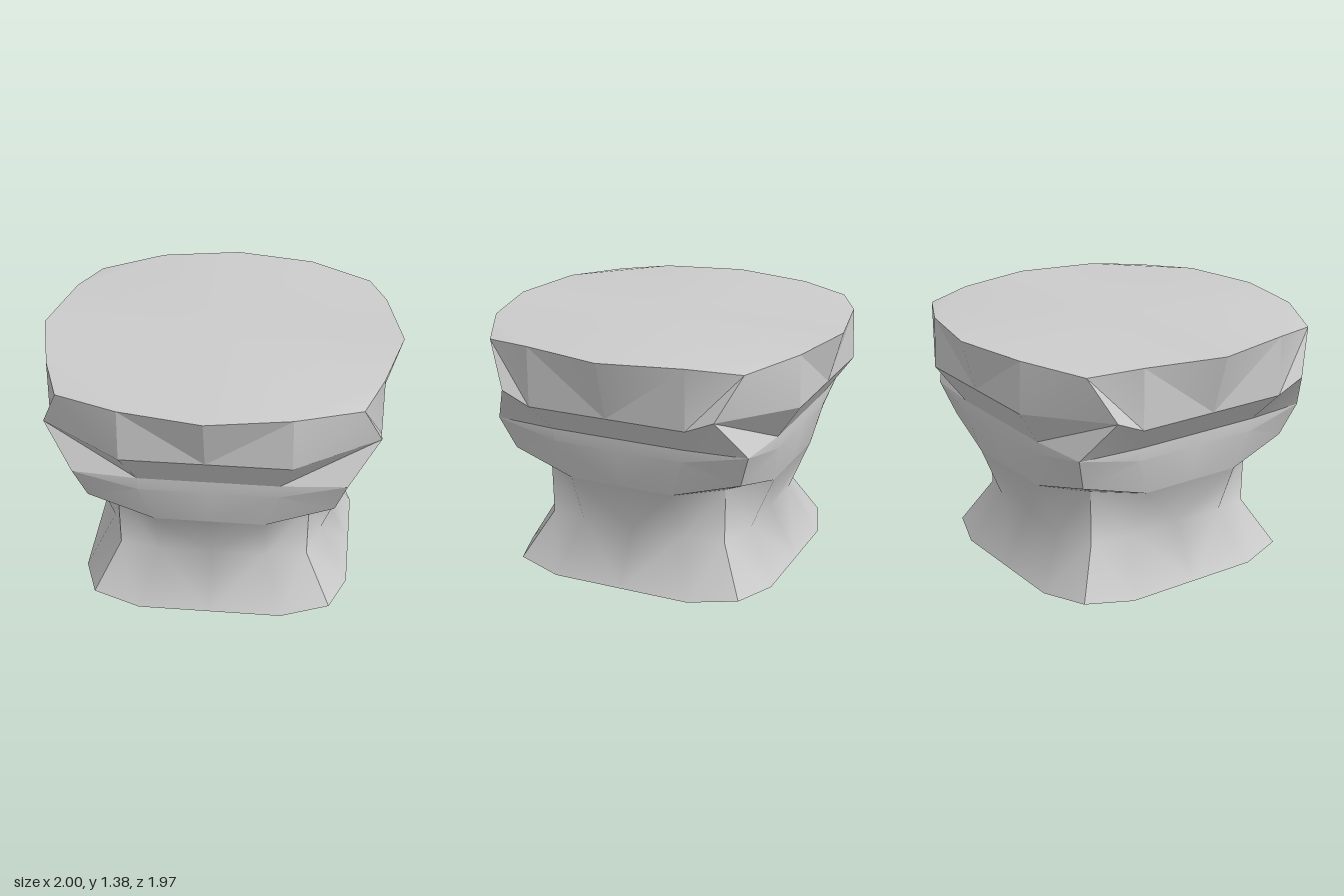
import * as THREE from 'three';
import { mergeVertices, toCreasedNormals } from 'three/addons/utils/BufferGeometryUtils.js';

const material = new THREE.MeshStandardMaterial({ color: 0xcccccc });

// Row of a side: [cornerAcross, cornerY, cornerOut, quarterAcross, y, quarterOut, middleOut]
const waistRows = [
  [0.665, 0.02, 0.665, 0.4, 0, 0.755, 0.755],
  [0.525, 0.28, 0.525, 0.3, 0.3, 0.595, 0.595],
  [0.53, 0.6, 0.53, 0.3, 0.6, 0.72, 0.72],
];
const collarRows = [
  waistRows[2],
  [0.67, 0.7, 0.67, 0.38, 0.82, 0.765, 0.765],
  [0.735, 0.89, 0.735, 0.38, 0.89, 0.765, 0.765],
];
const bowlRows = {
  front: [collarRows[2], [0.9, 1.12, 0.61, 0.45, 1.1, 0.91, 0.91], [0.8, 1.36, 0.73, 0.45, 1.385, 0.9, 0.985]],
  side: [collarRows[2], [0.61, 1.12, 0.9, 0.45, 1.05, 0.9, 0.9], [0.73, 1.36, 0.8, 0.45, 1.385, 0.9, 1]],
};

// Five points across a row, from one corner to the other
function rowPoints([ca, cy, co, qa, y, qo, mo]) {
  return [[-ca, cy, co], [-qa, y, qo], [0, y, mo], [qa, y, qo], [ca, cy, co]];
}

function geometryFrom(points, index) {
  const g = new THREE.BufferGeometry();
  g.setAttribute('position', new THREE.Float32BufferAttribute(points.flat(), 3));
  g.setIndex(index);
  return g;
}

// One wall facing +z, with mirrored diagonals
function wall(rows, smooth) {
  const index = [];
  for (let r = 0; r < rows.length - 1; r++) {
    for (let i = 0; i < 4; i++) {
      const a = r * 5 + i, b = a + 1, c = a + 6, d = a + 5;
      if (i < 2) index.push(a, b, d, b, c, d);
      else index.push(a, b, c, a, c, d);
    }
  }
  const g = geometryFrom(rows.flatMap(rowPoints), index);
  if (!smooth) return toCreasedNormals(g, 0.33);
  g.computeVertexNormals();
  return g;
}

// Flat cap with four slightly bent corners
function cap(rowFor, up) {
  const y = rowFor(0)[4];
  const points = [[0, y, 0]], index = [];
  for (let k = 0; k < 4; k++) {
    for (const [a, h, o] of rowPoints(rowFor(k)).slice(1)) {
      points.push([[a, h, o], [o, h, -a], [-a, h, -o], [-o, h, a]][k]);
    }
  }
  const tri = (a, b, c) => (up ? index.push(a, b, c) : index.push(a, c, b));
  for (let k = 0; k < 4; k++) {
    const s = 1 + k * 4, next = 1 + ((k + 1) % 4) * 4;
    tri(0, s, s + 1);
    tri(0, s + 1, s + 2);
    tri(0, s + 2, next);
    tri(s + 2, s + 3, next);
  }
  return toCreasedNormals(mergeVertices(geometryFrom(points, index)), 0.33);
}

export function createModel() {
  const model = new THREE.Group();
  const add = (name, geometry, turn = 0) => {
    const mesh = new THREE.Mesh(geometry, material);
    mesh.name = name;
    mesh.rotation.y = turn;
    model.add(mesh);
  };
  const bowlFor = (k) => (k % 2 ? bowlRows.side : bowlRows.front);

  // Four walls around the flared foot, the collar and the bowl
  ['front', 'left', 'back', 'right'].forEach((face, k) => {
    const turn = (k * Math.PI) / 2;
    add(`${face}Waist`, wall(waistRows, true), turn);
    add(`${face}Collar`, wall(collarRows, false), turn);
    add(`${face}Bowl`, wall(bowlFor(k), false), turn);
  });

  // Closed top and base
  add('top', cap((k) => bowlFor(k)[2], true));
  add('base', cap(() => waistRows[0], false));
  return model;
}
